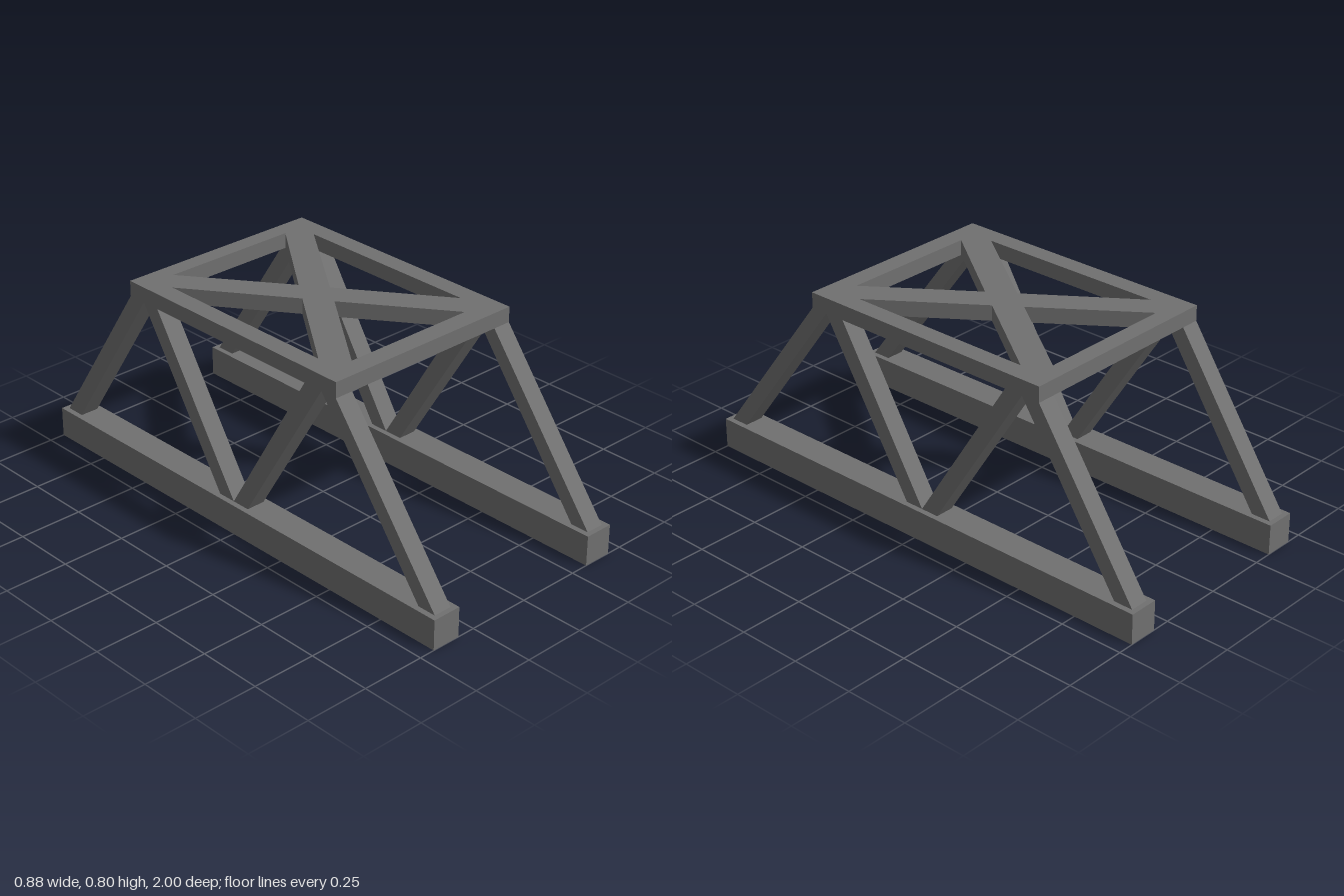
import * as THREE from 'three';

const material = new THREE.MeshStandardMaterial({ color: 0x707070, flatShading: true });

const polygon = (points, Type = THREE.Shape) => new Type(points.map(([x, y]) => new THREE.Vector2(x, y)));

function addMesh(parent, name, geometry) {
  const mesh = new THREE.Mesh(geometry, material);
  mesh.name = name;
  parent.add(mesh);
  return mesh;
}

export function createModel() {
  const model = new THREE.Group();
  model.name = 'trussBridge';

  const deckY = 0.118, topY = 0.738, roofThickness = 0.06;
  const front = 0.507, back = -0.565, half = 0.417, inner = 0.343;

  // Slanted members: [name, lower z range, upper z range]
  const members = [
    ['frontPost', [0.98, 0.905], [front, 0.437]],
    ['frontDiagonal', [0.055, -0.02], [0.437, 0.355]],
    ['backDiagonal', [-0.02, -0.094], [-0.415, -0.49]],
    ['backPost', [-0.903, -0.98], [-0.49, back]],
  ];

  for (const [side, s] of [['left', 1], ['right', -1]]) {
    const truss = new THREE.Group();
    truss.name = side + 'Truss';
    model.add(truss);

    // Bottom beam
    addMesh(truss, 'bottomBeam', new THREE.BoxGeometry(0.117, deckY, 2)).position.set(s * 0.38, deckY / 2, 0);

    // Posts and diagonals, drawn in the z-y plane and extruded along x
    for (const [name, low, high] of members) {
      const shape = polygon([[-low[0], deckY], [-low[1], deckY], [-high[1], topY], [-high[0], topY]]);
      const geometry = new THREE.ExtrudeGeometry(shape, { depth: half - inner, bevelEnabled: false });
      geometry.rotateY(Math.PI / 2);
      addMesh(truss, name, geometry).position.x = s > 0 ? inner : -half;
    }
  }

  // Top frame with cross bracing: a slab with four triangular openings
  const roof = polygon([[-half, -front], [half, -front], [half, -back], [-half, -back]]);
  const openings = [
    [[-0.272, -0.43], [0.272, -0.43], [0, -0.058]],
    [[-0.272, 0.498], [0.272, 0.498], [0, 0.128]],
    ...[-1, 1].map((s) => [[s * inner, -0.343], [s * inner, 0.418], [s * 0.067, 0.036]]),
  ];
  roof.holes = openings.map((points) => polygon(points, THREE.Path));
  const roofGeometry = new THREE.ExtrudeGeometry(roof, { depth: roofThickness, bevelEnabled: false });
  roofGeometry.rotateX(-Math.PI / 2);
  addMesh(model, 'topFrame', roofGeometry).position.y = topY;

  return model;
}
